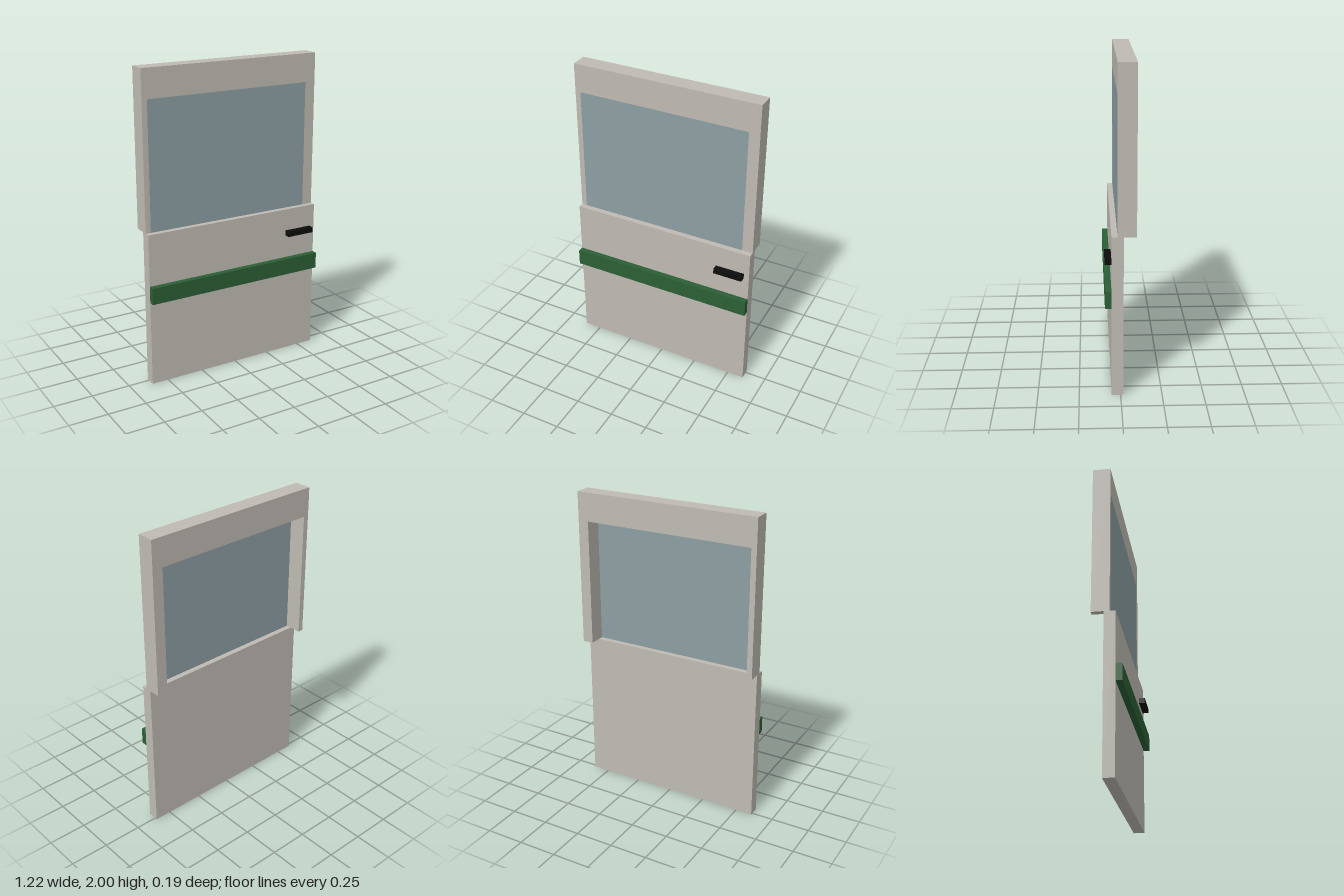
import * as THREE from 'three';

const mat = (name, color) => {
  const m = new THREE.MeshStandardMaterial({ color });
  m.name = name;
  return m;
};

export function createModel() {
  const group = new THREE.Group();
  const paint = mat('warm grey paint', 0xbfbbb3);
  const glass = mat('blue grey glass', 0x8c9ea2);
  const green = mat('green trim', 0x2b5f35);
  const black = mat('black handle', 0x0c0d0d);
  glass.side = THREE.DoubleSide;

  const add = (name, geometry, material) => {
    const mesh = new THREE.Mesh(geometry, material);
    mesh.name = name;
    group.add(mesh);
    return mesh;
  };

  // Box given by its limits on each axis
  const box = (name, material, [x0, x1], [y0, y1], [z0, z1]) =>
    add(name, new THREE.BoxGeometry(x1 - x0, y1 - y0, z1 - z0), material)
      .position.set((x0 + x1) / 2, (y0 + y1) / 2, (z0 + z1) / 2);

  const W = 0.61, left = -0.575, right = 0.54, sill = 1, head = 1.817;
  const frameBack = -0.093, frameFront = 0.018, panelFront = 0.054, trimFront = 0.093;

  // Lower door panel with its trim strip and handle
  box('lowerPanel', paint, [-W, W], [0, sill], [-0.017, panelFront]);
  box('trimStrip', green, [-W, W], [0.56, 0.667], [panelFront, trimFront]);
  box('handle', black, [0.385, 0.575], [0.82, 0.855], [panelFront, trimFront]);

  // Window frame: an arch of two stiles and a head, open at the sill
  const arch = new THREE.Shape([
    [-W, sill], [left, sill], [left, head], [right, head],
    [right, sill], [W, sill], [W, 2], [-W, 2],
  ].map(([x, y]) => new THREE.Vector2(x, y)));
  add('windowFrame', new THREE.ExtrudeGeometry(arch, {
    depth: frameFront - frameBack, bevelEnabled: false,
  }), paint).position.z = frameBack;

  // Single pane flush with the front of the frame
  add('windowPane', new THREE.PlaneGeometry(right - left, head - sill), glass)
    .position.set((left + right) / 2, (sill + head) / 2, frameFront);

  return group;
}
